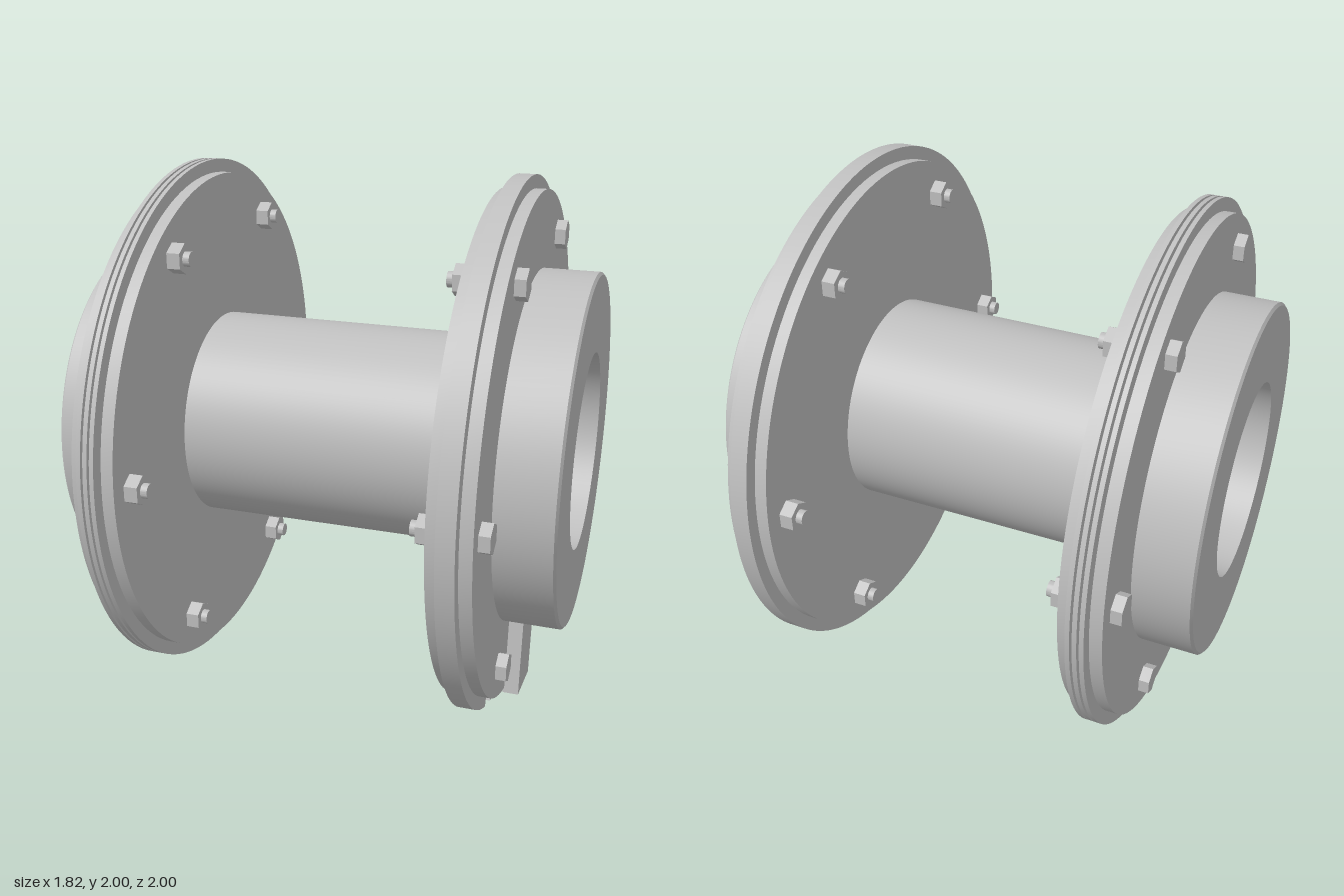
import * as THREE from 'three';
import { toCreasedNormals } from 'three/addons/utils/BufferGeometryUtils.js';

const steel = new THREE.MeshStandardMaterial({ color: 0xc0c0c0 });
steel.name = 'steelGrey';

const BORE = 0.37;

function part(name, geometry) {
  const mesh = new THREE.Mesh(toCreasedNormals(geometry, 0.5), steel);
  mesh.name = name;
  return mesh;
}

// Closed profile of [x, radius] points turned around the x axis
function turned(name, profile) {
  const pts = [...profile, profile[0]].map(([x, r]) => new THREE.Vector2(r, x));
  return part(name, new THREE.LatheGeometry(pts, 128).rotateZ(-Math.PI / 2));
}

function ring(name, x0, x1, outer, inner = BORE) {
  return turned(name, [[x0, inner], [x0, outer], [x1, outer], [x1, inner]]);
}

// Shape drawn in (-z, y), extruded along x
function plate(name, shape, x0, x1) {
  const g = new THREE.ExtrudeGeometry(shape, { depth: x1 - x0, bevelEnabled: false, curveSegments: 144 });
  return part(name, g.rotateY(Math.PI / 2).translate(x0, 0, 0));
}

function rod(name, x0, x1, radius, sides) {
  const g = new THREE.CylinderGeometry(radius, radius, x1 - x0, sides, 1, false, Math.PI / 6);
  return part(name, g.rotateZ(-Math.PI / 2).translate((x0 + x1) / 2, 0, 0));
}

// Hub, two flange rings and six bolts, facing +x
function createEnd(name) {
  const end = new THREE.Group();
  end.name = name;
  end.add(turned('hub', [
    [0.65, BORE], [0.65, 0.95], [0.695, 0.95], [0.695, 0.665],
    [0.903, 0.665], [0.912, 0.655], [0.912, BORE],
  ]));
  end.add(ring('innerFlange', 0.54, 0.585, 0.95));
  for (let i = 0; i < 6; i++) {
    const a = (i * Math.PI) / 3;
    const bolt = new THREE.Group();
    bolt.name = 'bolt';
    bolt.add(
      rod('boltHead', 0.695, 0.735, 0.056, 6),
      rod('nut', 0.49, 0.54, 0.056, 6),
      rod('boltShank', 0.465, 0.7, 0.027, 24),
    );
    bolt.position.set(0, 0.832 * Math.sin(a), 0.832 * Math.cos(a));
    end.add(bolt);
  }
  return end;
}

export function createModel() {
  const model = new THREE.Group();
  model.name = 'flangedSpool';

  const leftEnd = createEnd('leftEnd');
  const rightEnd = createEnd('rightEnd');
  rightEnd.rotation.y = Math.PI;
  model.add(leftEnd, rightEnd);

  // Open connecting tube
  const tube = new THREE.CylinderGeometry(0.4, 0.4, 1.08, 128, 1, true);
  model.add(part('tube', tube.rotateZ(Math.PI / 2)));

  // Three thin spaced discs in the right flange
  for (let i = 0; i < 3; i++) {
    const x = -0.65 + i * 0.0245;
    model.add(ring('spacerDisc', x, x + 0.016, 1));
  }

  // Solid plate with a rim notch and a square window
  const disc = new THREE.Shape();
  const down = -Math.PI / 2;
  const a0 = down - 0.305, a1 = down - 0.405;
  disc.absarc(0, 0, 1, a0, a1 + Math.PI * 2, false);
  disc.lineTo(0.935 * Math.cos(a1), 0.935 * Math.sin(a1));
  disc.lineTo(0.935 * Math.cos(a0), 0.935 * Math.sin(a0));
  disc.closePath();
  const corners = [[-0.144, -0.23], [-0.053, -0.262], [-0.083, -0.342], [-0.173, -0.31]];
  disc.holes.push(new THREE.Path(corners.map(([x, y]) => new THREE.Vector2(x, y))));
  model.add(plate('notchedPlate', disc, 0.585, 0.65));

  // Wedge-shaped lug below the hub
  const lug = new THREE.Shape(
    [[-0.217, -0.628], [-0.255, -0.935], [-0.03, -0.965], [0.015, -0.662], [-0.1, -0.655]]
      .map(([x, y]) => new THREE.Vector2(x, y)),
  );
  model.add(plate('lug', lug, 0.69, 0.75));

  // Raise the axis so the rims stand on the ground
  for (const child of model.children) child.position.y += 1;
  return model;
}
